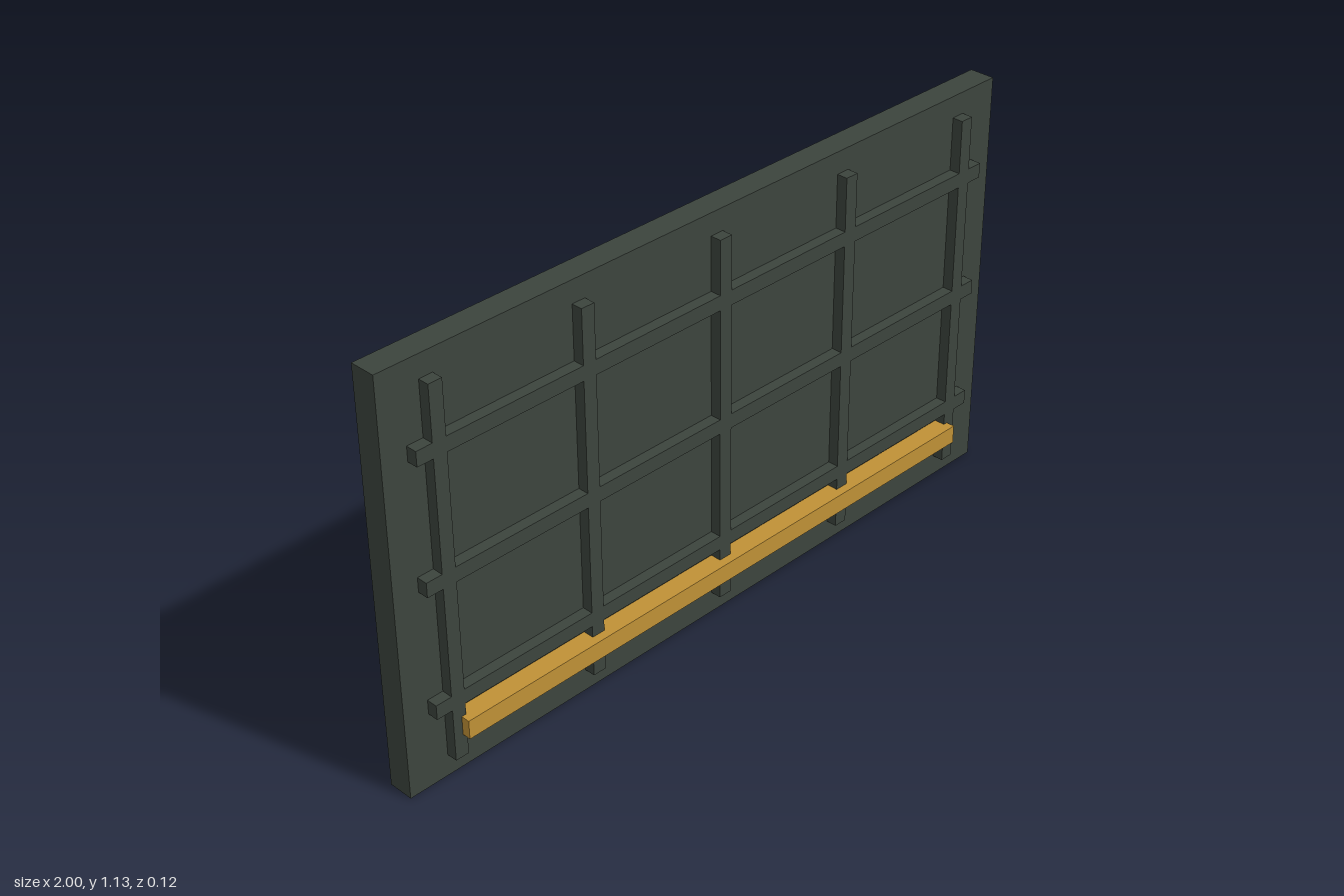
import * as THREE from 'three';

export function createModel() {
  const group = new THREE.Group();
  const slate = new THREE.MeshStandardMaterial({ color: 0x3c443d });
  slate.name = 'dark green grey';
  const ochre = new THREE.MeshStandardMaterial({ color: 0xc09136 });
  ochre.name = 'ochre';

  // Box given by its centre in x and y, and its back and front in z
  function box(name, material, w, h, x, y, back, front) {
    const mesh = new THREE.Mesh(new THREE.BoxGeometry(w, h, front - back), material);
    mesh.position.set(x, y, (back + front) / 2);
    mesh.name = name;
    group.add(mesh);
  }

  const face = 0.008; // front of the panel
  const ribFace = 0.038; // front of the lattice

  box('panel', slate, 2, 1.134, 0, 0.567, -0.062, face);

  // Lattice of raised ribs
  for (let i = -2; i <= 2; i++) {
    box('verticalRib', slate, 0.038, 1.014, i * 0.433, 0.567, face, ribFace);
  }
  for (let i = -1; i <= 1; i++) {
    box('horizontalRib', slate, 1.86, 0.04, 0, 0.568 + i * 0.341, face, ribFace);
  }

  // Coloured rail across the lower ribs
  box('rail', ochre, 1.72, 0.052, 0, 0.149, face, 0.062);

  return group;
}
